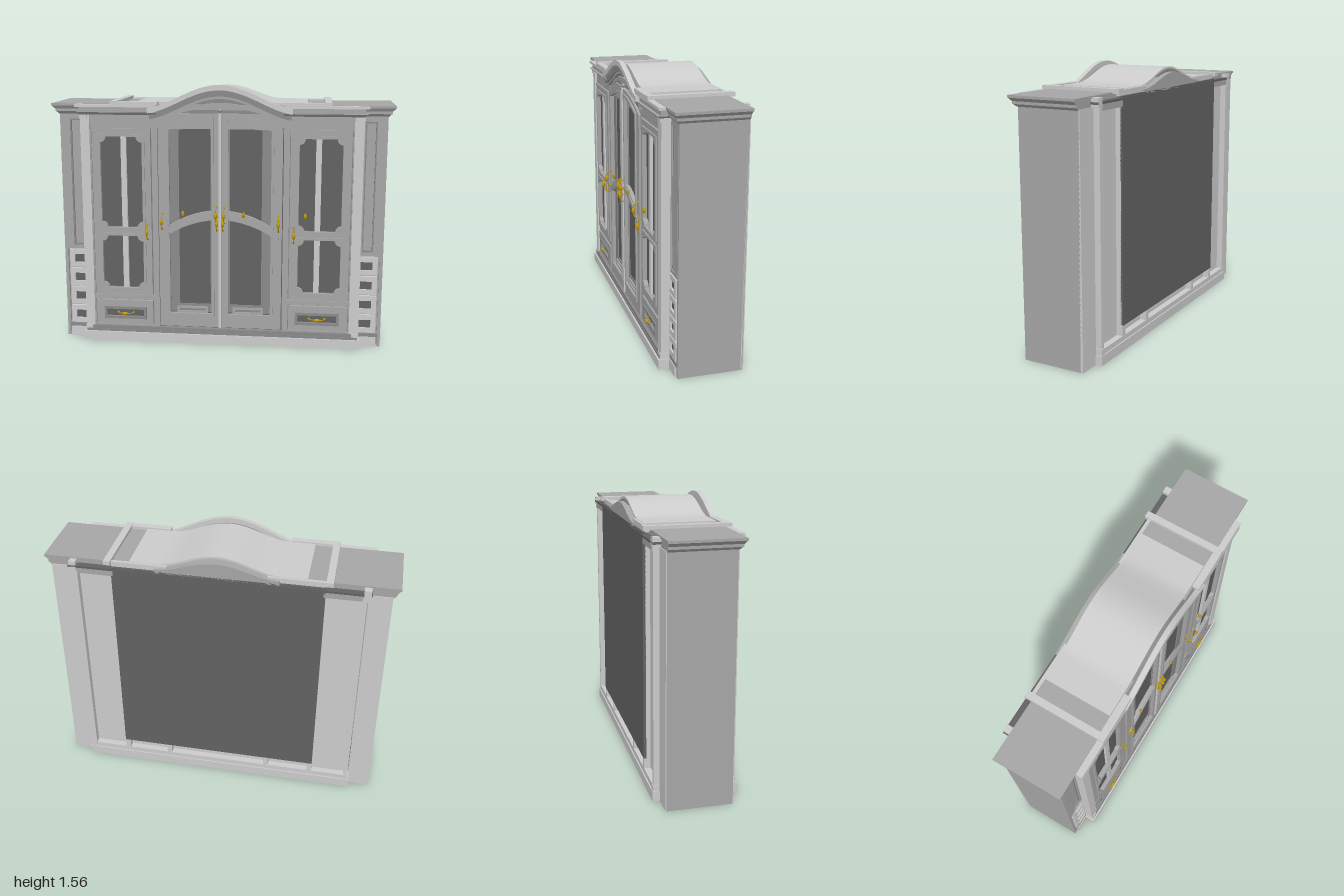
import * as THREE from 'three';

const tone = color => new THREE.MeshStandardMaterial({ color, side: THREE.DoubleSide });
const grey = tone(0xcccccc), mid = tone(0xa6a6a6), dim = tone(0x8a8a8a), dark = tone(0x626262);
const gold = new THREE.MeshStandardMaterial({ color: 0xc09a10 });

export function createModel() {
  const root = new THREE.Group();
  const add = (name, geo, mat) => {
    const m = new THREE.Mesh(geo, mat);
    m.name = name;
    root.add(m);
    return m;
  };
  // box given by its limits
  const box = (name, x0, x1, y0, y1, z0, z1, mat = grey) => {
    const g = new THREE.BoxGeometry(Math.abs(x1 - x0), y1 - y0, z1 - z0);
    return add(name, g.translate((x0 + x1) / 2, (y0 + y1) / 2, (z0 + z1) / 2), mat);
  };
  const sides = f => [1, -1].forEach(f);
  // box whose top edge leans outward: dx at the outer side, dz at the front
  const flare = (name, x0, x1, y0, y1, z0, z1, s, dx, dz) => {
    const m = box(name, s * x0, s * x1, y0, y1, z0, z1, mid);
    const p = m.geometry.attributes.position;
    for (let i = 0; i < p.count; i++) {
      if (p.getY(i) < (y0 + y1) / 2) continue;
      if (p.getX(i) * s > (x0 + x1) / 2) p.setX(i, p.getX(i) + s * dx);
      if (p.getZ(i) > (z0 + z1) / 2) p.setZ(i, p.getZ(i) + dz);
    }
    m.geometry.computeVertexNormals();
  };
  const extrude = (name, shape, z0, z1, mat = mid) => add(name,
    new THREE.ExtrudeGeometry(shape, { depth: z1 - z0, bevelEnabled: false }).translate(0, 0, z0), mat);
  const rect = (x0, x1, y0, y1, s) => new THREE.Shape(
    [[x0, y0], [x1, y0], [x1, y1], [x0, y1]].map(([x, y]) => new THREE.Vector2(s * x, y)));
  // area between two curves
  const band = (lo, hi, x0, x1, s = 1, n = 32) => {
    const pts = [];
    for (let i = 0; i <= n; i++) { const x = x0 + (x1 - x0) * i / n; pts.push(new THREE.Vector2(s * x, lo(x))); }
    for (let i = n; i >= 0; i--) { const x = x0 + (x1 - x0) * i / n; pts.push(new THREE.Vector2(s * x, hi(x))); }
    return new THREE.Shape(pts);
  };
  // rectangle with scooped corners
  const scooped = (x0, x1, y0, y1, r, s) => {
    const pts = [];
    [[x0, y0, Math.PI / 2], [x1, y0, Math.PI], [x1, y1, Math.PI * 1.5], [x0, y1, 0]].forEach(([x, y, a]) => {
      for (let i = 0; i <= 5; i++) {
        const t = a - i / 5 * Math.PI / 2;
        pts.push(new THREE.Vector2(s * (x + r * Math.cos(t)), y + r * Math.sin(t)));
      }
    });
    return new THREE.Shape(pts);
  };
  const framed = (name, outer, holes, z0, z1, mat) => { outer.holes.push(...holes); extrude(name, outer, z0, z1, mat); };

  // carcass
  box('floor', -0.81, 0.81, 0.075, 0.095, -0.19, 0.19, dark);
  box('ceilingPanel', -0.83, 0.83, 1.41, 1.44, -0.205, 0.2, mid);
  box('backPanel', -0.6, 0.6, 0.145, 1.42, -0.24, -0.225, dark);
  box('innerBack', -0.6, 0.6, 0.08, 0.25, -0.2, -0.19);
  box('frontPlinth', -0.83, 0.83, 0, 0.055, 0.215, 0.235);
  box('frontPlinthMoulding', -0.82, 0.82, 0.055, 0.07, 0.19, 0.225, dim);
  box('frontPlinthCap', -0.815, 0.815, 0.07, 0.09, 0.19, 0.222, dim);
  box('backPlinth', -0.83, 0.83, 0, 0.055, -0.245, -0.225);
  box('backPlinthMoulding', -0.82, 0.82, 0.055, 0.085, -0.238, -0.19);
  box('frontTopRail', -0.78, 0.78, 1.3, 1.39, 0.175, 0.2, mid);

  sides(s => {
    // wings, open below
    box('wingSide', s * 0.94, s * 0.96, 0, 1.385, -0.2, 0.165, mid);
    box('wingBack', s * 0.83, s * 0.96, 0, 1.385, -0.205, -0.19);
    box('wingFront', s * 0.82, s * 0.95, 0.06, 1.4, 0.135, 0.15, mid);
    box('wingPlinth', s * 0.82, s * 0.935, 0, 0.06, 0.15, 0.175);
    box('wingPlinthMoulding', s * 0.82, s * 0.945, 0.06, 0.08, 0.15, 0.17, dim);
    box('wingFloor', s * 0.83, s * 0.94, 0.075, 0.09, -0.19, 0.14, dark);
    box('baseCrossBar', s * 0.62, s * 0.66, 0.01, 0.075, -0.225, 0.215);
    framed('wingPanelFrame', rect(0.82, 0.945, 0.56, 1.38, s), [rect(0.835, 0.9, 0.58, 1.35, s)], 0.15, 0.167);
    framed('wingPanelBead', rect(0.832, 0.903, 0.577, 1.353, s), [rect(0.842, 0.893, 0.59, 1.34, s)], 0.15, 0.16, dim);
    for (let i = 0; i < 4; i++) {
      const y = 0.085 + i * 0.119;
      framed('wingDrawer', rect(0.82, 0.93, y, y + 0.11, s), [rect(0.83, 0.9, y + 0.03, y + 0.08, s)], 0.15, 0.17, grey);
      box('wingDrawerInset', s * 0.825, s * 0.905, y + 0.025, y + 0.085, 0.148, 0.158, dark);
    }
    // wing cornice
    flare('wingCornice', 0.8, 0.962, 1.38, 1.395, -0.2, 0.17, s, 0.015, 0.012);
    box('wingCorniceFillet', s * 0.8, s * 0.98, 1.395, 1.41, -0.2, 0.185, mid);
    flare('wingCorniceCove', 0.8, 0.981, 1.41, 1.428, -0.2, 0.187, s, 0.017, 0.011);
    box('wingCorniceTop', s * 0.6, s * 1.0, 1.428, 1.442, -0.205, 0.2, mid);

    // full-depth side walls of the centre unit, with pilasters, bases and capitals
    box('centreSide', s * 0.8, s * 0.825, 0.085, 1.41, -0.238, 0.218);
    box('pilaster', s * 0.77, s * 0.8, 0.085, 1.38, 0.16, 0.218);
    box('pilasterBase', s * 0.785, s * 0.835, 0, 0.055, 0.165, 0.235);
    box('pilasterBaseMoulding', s * 0.785, s * 0.828, 0.055, 0.09, 0.165, 0.224);
    box('pilasterCapital', s * 0.785, s * 0.828, 1.36, 1.385, 0.165, 0.225);
    // back corners and recessed bays
    box('backBase', s * 0.8, s * 0.835, 0, 0.055, -0.245, -0.19);
    box('backBaseMoulding', s * 0.8, s * 0.83, 0.055, 0.09, -0.242, -0.19);
    box('backCapital', s * 0.8, s * 0.83, 1.36, 1.385, -0.242, -0.19);
    box('backCapitalBlock', s * 0.805, s * 0.845, 1.385, 1.435, -0.245, -0.2);
    box('backTopRail', s * 0.59, s * 0.82, 1.365, 1.4, -0.24, -0.19, mid);
    box('backTopLedge', s * 0.27, s * 0.85, 1.4, 1.412, -0.245, -0.19, dark);
    box('backBayPanel', s * 0.58, s * 0.815, 0.08, 1.41, -0.2, -0.185);
    box('backPanelReturn', s * 0.59, s * 0.6, 0.145, 1.41, -0.23, -0.19);
    [0.31, 0.585].forEach(x => box('backPanelFoot', s * (x - 0.015), s * (x + 0.015), 0.085, 0.15, -0.238, -0.2));

    // front cornice and roof rails
    flare('cornice', 0.37, 0.825, 1.38, 1.395, 0.17, 0.225, s, 0.02, 0.015);
    box('corniceFrieze', s * 0.37, s * 0.83, 1.395, 1.425, 0.17, 0.222, mid);
    box('corniceTop', s * 0.37, s * 0.85, 1.425, 1.44, 0.17, 0.237);
    box('roofCrossRail', s * 0.6, s * 0.64, 1.435, 1.46, -0.245, 0.237);
    box('roofFrontRail', s * 0.36, s * 0.6, 1.44, 1.457, 0.195, 0.237);
    box('roofBackRail', s * 0.28, s * 0.6, 1.42, 1.45, -0.225, -0.205);

    // side door with two scooped panels
    box('sideDoorBacking', s * 0.385, s * 0.785, 0.095, 1.34, 0.172, 0.19, dim);
    framed('sideDoorFrame', rect(0.41, 0.76, 0.29, 1.3, s),
      [scooped(0.46, 0.71, 0.705, 1.255, 0.035, s), scooped(0.46, 0.71, 0.33, 0.66, 0.035, s)], 0.19, 0.212);
    [[0.71, 1.25], [0.335, 0.655]].forEach(([y0, y1]) => {
      framed('panelMoulding', rect(0.445, 0.725, y0 - 0.017, y1 + 0.017, s),
        [scooped(0.461, 0.709, y0 - 0.002, y1 + 0.002, 0.034, s)], 0.2, 0.22);
      box('panelGlass', s * 0.46, s * 0.71, y0, y1, 0.185, 0.194, dark);
      box('panelMuntin', s * 0.555, s * 0.588, y0, y1, 0.192, 0.21);
    });
    framed('sideBayFrame', rect(0.37, 0.79, 0.09, 1.38, s),
      [rect(0.405, 0.765, 0.285, 1.305, s), rect(0.405, 0.765, 0.095, 0.255, s)], 0.18, 0.203);
    // lower drawer
    framed('drawerFront', rect(0.41, 0.76, 0.1, 0.25, s), [rect(0.46, 0.7, 0.145, 0.2, s)], 0.19, 0.21);
    framed('drawerMoulding', rect(0.45, 0.71, 0.135, 0.21, s), [rect(0.465, 0.695, 0.15, 0.195, s)], 0.2, 0.218, dim);
    box('drawerInset', s * 0.455, s * 0.705, 0.14, 0.205, 0.185, 0.196, dark);

    // centre door with arched head and curved middle rail
    const head = x => 1.39 - 0.65 * x * x;
    const rail = x => 0.765 - 1.0 * x * x;
    framed('centreDoorFrame', band(() => 0.1, head, 0.006, 0.365, s),
      [band(() => 0.18, x => head(x) - 0.035, 0.045, 0.305, s)], 0.19, 0.213);
    framed('centreDoorMoulding', band(() => 0.165, x => head(x) - 0.02, 0.035, 0.315, s),
      [band(() => 0.185, x => head(x) - 0.038, 0.05, 0.3, s)], 0.2, 0.222);
    extrude('centreDoorGap', band(() => 0.095, x => head(x) + 0.004, 0.345, 0.385, s), 0.18, 0.2, dark);
    extrude('centreDoorGlass', band(() => 0.12, x => head(x) - 0.01, 0.02, 0.35, s), 0.18, 0.192, dark);
    framed('glassBevel', band(() => 0.19, x => head(x) - 0.04, 0.05, 0.3, s),
      [band(() => 0.24, x => head(x) - 0.06, 0.058, 0.245, s)], 0.19, 0.198, dim);
    extrude('middleRail', band(rail, x => rail(x) + 0.055, 0.03, 0.345, s), 0.19, 0.216);
    extrude('middleRailBead', band(x => rail(x) + 0.012, x => rail(x) + 0.043, 0.03, 0.345, s), 0.21, 0.222);
    framed('lowerPanelMoulding', rect(0.075, 0.26, 0.185, 0.225, s), [rect(0.09, 0.245, 0.197, 0.213, s)], 0.19, 0.208);
  });
  box('centreMeetingStrip', -0.008, 0.008, 0.1, 1.39, 0.2, 0.222);

  // arched pediment
  const wave = (x, w) => Math.abs(x) < w ? Math.pow(0.5 + 0.5 * Math.cos(Math.PI * x / w), 0.88) : 0;
  const arch = x => 1.42 + 0.136 * wave(x, 0.44);
  extrude('archCrown', band(x => arch(x) - 0.03, arch, -0.42, 0.42), 0.215, 0.245, grey);
  extrude('archMiddleMoulding', band(x => arch(x) - 0.066, x => arch(x) - 0.03, -0.41, 0.41), 0.18, 0.228, dim);
  extrude('archLowerMoulding', band(x => arch(x) - 0.08, x => arch(x) - 0.066, -0.4, 0.4), 0.18, 0.22);
  extrude('archTympanum', band(() => 1.335, x => arch(x) - 0.04, -0.385, 0.385), 0.172, 0.19, dim);
  extrude('archInnerMoulding', band(x => 1.375 + 0.055 * wave(x, 0.36), x => 1.392 + 0.06 * wave(x, 0.36), -0.34, 0.34), 0.18, 0.21);
  add('keyBead', new THREE.SphereGeometry(0.012, 12, 8).translate(0, 1.41, 0.21), mid);
  extrude('backArch', band(() => 1.41, x => 1.435 + 0.07 * wave(x, 0.34), -0.35, 0.35), -0.24, -0.21);
  // arched roof sheet
  const roof = x => 1.452 + 0.083 * wave(x, 0.34);
  extrude('roofSheet', band(x => roof(x) - 0.012, roof, -0.5, 0.5, 1, 40), -0.21, 0.19, grey);

  // bow handles with a swollen grip
  const handle = (x, y, horizontal, size = 1) => {
    const g = new THREE.Group();
    g.name = horizontal ? 'drawerHandle' : 'doorHandle';
    const path = new THREE.CatmullRomCurve3([[-0.05, 0], [-0.036, 0.022], [0, 0.03], [0.036, 0.022], [0.05, 0]]
      .map(([a, z]) => new THREE.Vector3(0, a * size, z * size)));
    g.add(new THREE.Mesh(new THREE.TubeGeometry(path, 16, 0.0035, 6), gold));
    const grip = new THREE.Mesh(new THREE.SphereGeometry(0.01, 10, 8), gold);
    grip.scale.y = 1.9 * size;
    grip.position.z = 0.029 * size;
    g.add(grip);
    sides(e => {
      const rose = new THREE.Mesh(new THREE.SphereGeometry(0.007, 8, 6), gold);
      rose.position.y = e * 0.047 * size;
      g.add(rose);
    });
    g.position.set(x, y, horizontal ? 0.202 : 0.214);
    if (horizontal) g.rotation.z = Math.PI / 2;
    root.add(g);
  };
  sides(s => {
    handle(s * 0.024, 0.795, false);
    handle(s * 0.018, 0.745, false, 0.9);
    handle(s * 0.345, 0.75, false);
    handle(s * 0.435, 0.685, false);
    handle(s * 0.58, 0.172, true);
  });
  // small escutcheons
  [-0.22, 0.14, 0.5].forEach(x => {
    const g = new THREE.SphereGeometry(0.01, 10, 8).scale(0.9, 1.8, 1).translate(x, 0.8, 0.222);
    add('escutcheon', g, gold);
  });
  return root;
}
